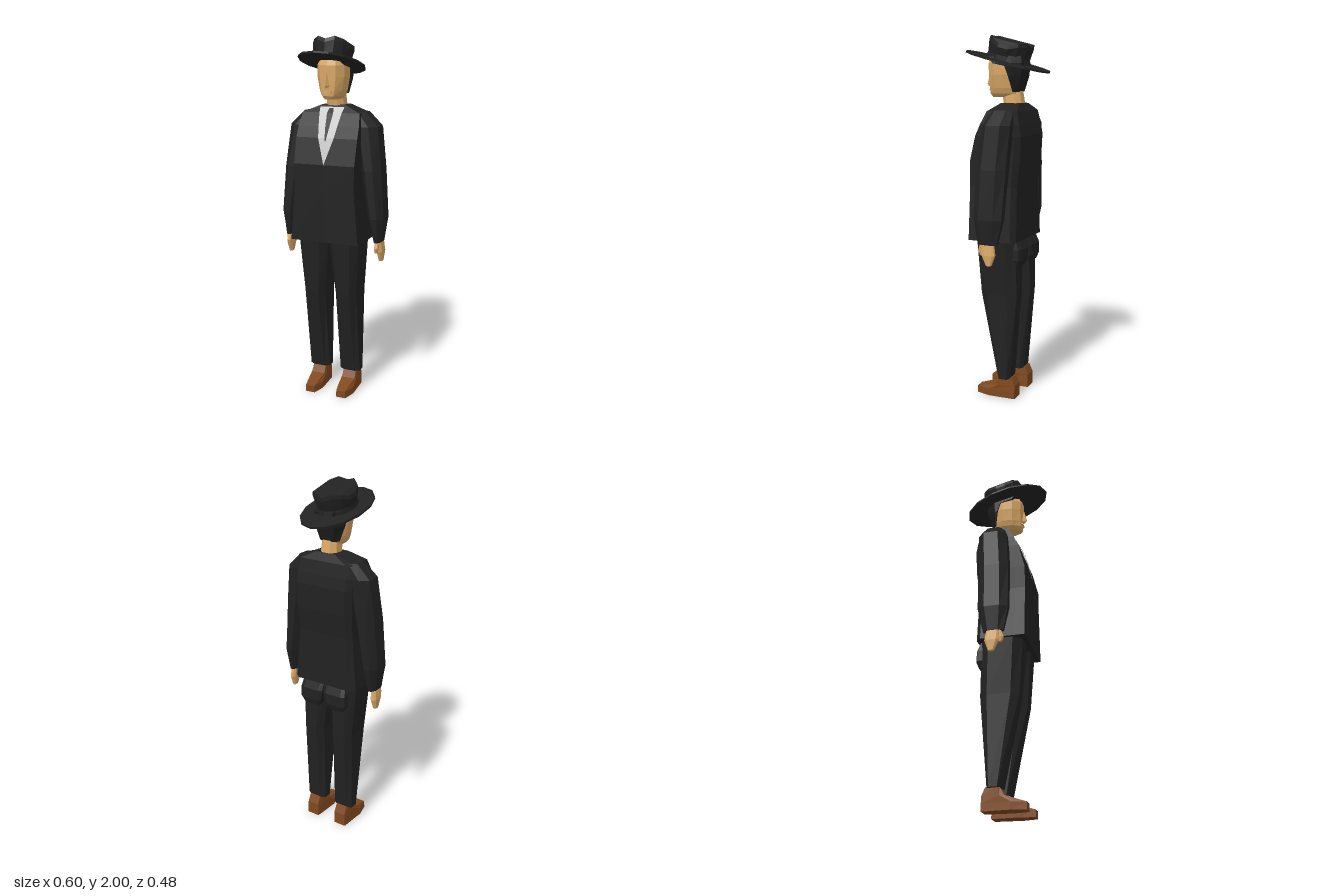
import * as THREE from 'three';

const mat = (color) => new THREE.MeshStandardMaterial({ color, flatShading: true, roughness: 0.9 });

// Skin a stack of rings, bottom to top; each ring runs front -> +x -> back -> -x
function loft(rings, caps = true) {
  const pos = [];
  const tri = (a, b, c) => pos.push(...a, ...b, ...c);
  const n = rings[0].length;
  for (let r = 0; r < rings.length - 1; r++) {
    for (let i = 0; i < n; i++) {
      const j = (i + 1) % n, lo = rings[r], up = rings[r + 1];
      tri(lo[i], lo[j], up[j]);
      tri(lo[i], up[j], up[i]);
    }
  }
  if (caps) {
    const bottom = rings[0], top = rings[rings.length - 1];
    for (let i = 1; i < n - 1; i++) {
      tri(bottom[0], bottom[i + 1], bottom[i]);
      tri(top[0], top[i], top[i + 1]);
    }
  }
  const g = new THREE.BufferGeometry();
  g.setAttribute('position', new THREE.Float32BufferAttribute(pos, 3));
  g.computeVertexNormals();
  return g;
}

// Rectangular ring with cut corners (cx, cz = fraction of width and depth cut off)
function box([y, x0, x1, z0, z1], cx, cz) {
  const dx = (x1 - x0) * cx, dz = (z1 - z0) * cz;
  return [
    [x0 + dx, y, z1], [x1 - dx, y, z1], [x1, y, z1 - dz], [x1, y, z0 + dz],
    [x1 - dx, y, z0], [x0 + dx, y, z0], [x0, y, z0 + dz], [x0, y, z1 - dz],
  ];
}

// Symmetric ring from its +x half, given as [x, z] from front centre to back centre
function symmetric(y, half) {
  const right = half.map(([x, z]) => [x, y, z]);
  const left = right.slice(1, -1).reverse().map(([x, h, z]) => [-x, h, z]);
  return [...right, ...left];
}

const flip = (ring) => ring.map(([x, y, z]) => [-x, y, z]).reverse();

export function createModel() {
  const model = new THREE.Group();
  const cloth = mat(0x222222), skin = mat(0xd9a866), leather = mat(0x80491f);
  const linen = mat(0xcccccc), hairMat = mat(0x1c1c1c);
  linen.side = THREE.DoubleSide;
  const tieMat = mat(0x222222);
  tieMat.side = THREE.DoubleSide;

  const add = (name, geometry, material, parent = model) => {
    const mesh = new THREE.Mesh(geometry, material);
    mesh.name = name;
    parent.add(mesh);
    return mesh;
  };
  // A limb on each side of the body
  const pair = (name, rings, material) => {
    add('left' + name, loft(rings), material);
    add('right' + name, loft(rings.map(flip)), material);
  };

  // Jacket body: [y, half width, front z, back z]
  const jacketRows = [
    [0.905, 0.197, 0.14, -0.13], [1.2, 0.172, 0.14, -0.125], [1.33, 0.175, 0.14, -0.142],
    [1.47, 0.177, 0.105, -0.148], [1.53, 0.175, 0.078, -0.138],
    [1.6, 0.165, 0.042, -0.122], [1.64, 0.07, 0.005, -0.1],
  ];
  add('jacket', loft(jacketRows.map(([y, w, f, b]) =>
    symmetric(y, [[0, f], [w, f], [w, f * 0.62], [w, b * 0.8], [w * 0.85, b], [0, b]]))), cloth);

  // Shirt front and tie lying on the chest: [y, half width, z]
  const strip = (rows) => {
    const pos = [];
    for (let i = 0; i < rows.length - 1; i++) {
      const [y0, w0, z0] = rows[i], [y1, w1, z1] = rows[i + 1];
      pos.push(-w0, y0, z0, w0, y0, z0, w1, y1, z1, -w0, y0, z0, w1, y1, z1, -w1, y1, z1);
    }
    const g = new THREE.BufferGeometry();
    g.setAttribute('position', new THREE.Float32BufferAttribute(pos, 3));
    g.computeVertexNormals();
    return g;
  };
  add('shirt', strip([[1.33, 0, 0.145], [1.47, 0.045, 0.111], [1.53, 0.054, 0.084],
    [1.6, 0.065, 0.048], [1.63, 0.07, 0.022]]), linen);
  add('tie', strip([[1.45, 0, 0.122], [1.47, 0.005, 0.117], [1.53, 0.012, 0.09],
    [1.6, 0.018, 0.054], [1.625, 0.012, 0.032]]), tieMat);

  // Sleeves: [y, inner x, outer x, back z, front z]
  pair('Sleeve', [
    [0.905, 0.243, 0.285, -0.065, 0.045], [1.04, 0.215, 0.302, -0.095, 0.07],
    [1.3, 0.168, 0.283, -0.105, 0.065], [1.53, 0.12, 0.255, -0.115, 0.045],
    [1.605, 0.07, 0.18, -0.105, 0.02],
  ].map((r) => box(r, 0.3, 0.25)), cloth);

  // Hands and thumbs
  pair('Hand', [
    [0.793, 0.265, 0.285, -0.035, -0.005], [0.85, 0.257, 0.29, -0.055, 0.02],
    [0.92, 0.253, 0.283, -0.045, 0.025],
  ].map((r) => box(r, 0.25, 0.15)), skin);
  pair('Thumb', [
    [0.845, 0.255, 0.27, 0.02, 0.035], [0.87, 0.253, 0.275, 0.012, 0.045], [0.915, 0.255, 0.278, 0, 0.03],
  ].map((r) => box(r, 0.2, 0.2)), skin);

  // Trouser legs and seat
  pair('TrouserLeg', [
    [0.115, 0.035, 0.153, -0.078, -0.003], [0.6, 0.033, 0.156, -0.118, 0.095],
    [0.915, 0.0, 0.18, -0.11, 0.117],
  ].map((r) => box(r, 0.22, 0.2)), cloth);
  pair('TrouserSeat', [
    [0.765, 0.03, 0.13, -0.13, -0.08], [0.8, 0.015, 0.145, -0.143, -0.08],
    [0.86, 0.005, 0.145, -0.142, -0.08], [0.92, 0.0, 0.135, -0.115, -0.08],
  ].map((r) => box(r, 0.15, 0.15)), cloth);

  // Shoes, tapering to the toe
  const shoe = (y, toeZ, toeW, midZ, w, heelZ) => [
    [0.095 - toeW, y, toeZ], [0.095 + toeW, y, toeZ], [0.095 + w, y, midZ],
    [0.095 + w * 0.8, y, heelZ], [0.095 - w * 0.8, y, heelZ], [0.095 - w, y, midZ],
  ];
  pair('Shoe', [
    shoe(0, 0.127, 0.028, 0.05, 0.046, -0.105), shoe(0.04, 0.127, 0.026, 0.05, 0.046, -0.105),
    shoe(0.075, 0.015, 0.04, -0.01, 0.044, -0.105), shoe(0.12, -0.01, 0.036, -0.02, 0.042, -0.085),
  ], leather);

  // Neck
  add('neck', loft([
    [1.62, -0.05, 0.05, -0.1, 0.005], [1.71, -0.045, 0.045, -0.085, 0.02],
  ].map((r) => box(r, 0.25, 0.25))), skin);

  // Head: [y, half width, front z, back z]
  add('head', loft([
    [1.672, 0.042, 0.08, -0.06], [1.69, 0.058, 0.092, -0.075], [1.72, 0.07, 0.094, -0.08],
    [1.79, 0.084, 0.096, -0.09], [1.85, 0.085, 0.098, -0.095], [1.885, 0.075, 0.085, -0.09],
  ].map(([y, w, f, b]) =>
    symmetric(y, [[0, f], [w * 0.55, f * 0.9], [w * 0.92, f * 0.45], [w, -0.015], [w * 0.75, b * 0.9], [0, b]]))), skin);
  add('nose', loft([
    symmetric(1.73, [[0, 0.11], [0.018, 0.085], [0, 0.08]]),
    symmetric(1.745, [[0, 0.117], [0.016, 0.085], [0, 0.08]]),
    symmetric(1.81, [[0, 0.099], [0.007, 0.085], [0, 0.08]]),
  ]), skin);
  const mouth = add('mouth', new THREE.BoxGeometry(0.045, 0.008, 0.02), skin);
  mouth.position.set(0, 1.712, 0.086);

  // Hair around the sides and back: [y, half width, front z, back z]
  add('hair', loft([
    [1.7, 0.062, -0.06, -0.085], [1.78, 0.086, -0.045, -0.106], [1.835, 0.09, -0.025, -0.112],
    [1.85, 0.09, 0.045, -0.112], [1.885, 0.083, 0.07, -0.105],
  ].map(([y, w, f, b]) =>
    symmetric(y, [[0, f], [w, f], [w, Math.min(f, b * 0.55)], [w * 0.65, b], [0, b]]))), hairMat);

  // Hat, tipped back
  const hat = new THREE.Group();
  hat.name = 'hat';
  hat.position.set(-0.01, 1.86, 0);
  hat.rotation.x = -0.247;
  model.add(hat);
  const brim = add('brim', new THREE.CylinderGeometry(1, 1, 0.01, 14), cloth, hat);
  brim.scale.set(0.168, 1, 0.248);

  // Crown, flaring upward to a top with a lengthwise crease
  const crownTop = [0.1, 0.117, 0.108, 0.088, 0.088, 0.108, 0.117];
  const oval = (rx, rz, height) => Array.from({ length: 14 }, (_, i) => {
    const a = (i / 14) * Math.PI * 2;
    return [rx * Math.sin(a), height(i % 7, i), rz * Math.cos(a)];
  });
  const lip = oval(0.112, 0.125, (k) => crownTop[k]);
  add('crown', loft([
    oval(0.102, 0.128, () => 0), oval(0.1, 0.118, () => 0.03), oval(0.112, 0.125, (k) => crownTop[k] - 0.02),
    lip.map(([x, y, z]) => [x * 0.97, y, z * 0.97]), lip.map(([x, y]) => [x * 0.97, y, 0]),
  ], false), cloth, hat);

  return model;
}
